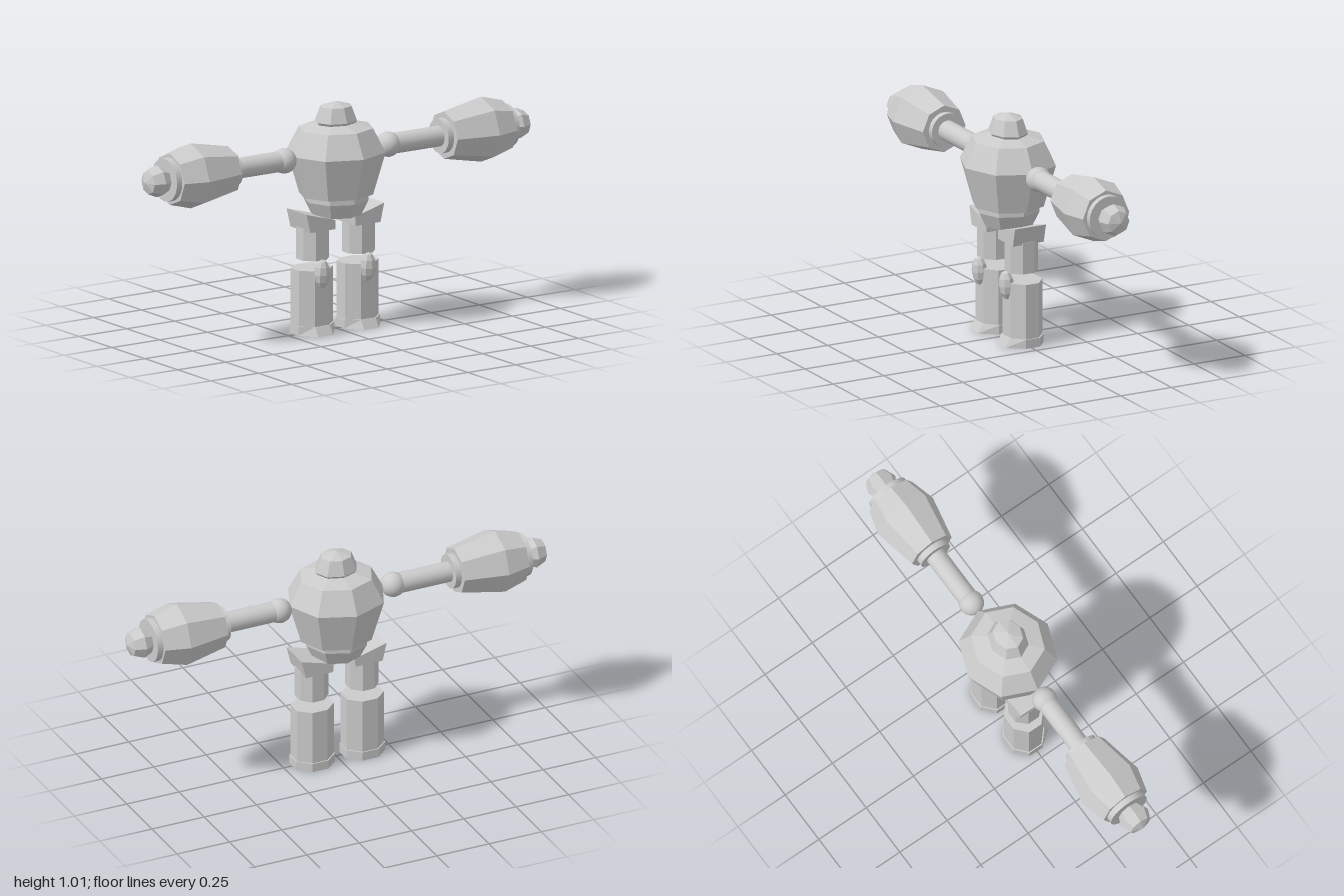
import * as THREE from 'three';

const flat = new THREE.MeshStandardMaterial({ color: 0xcccccc, flatShading: true });
const smooth = new THREE.MeshStandardMaterial({ color: 0xcccccc });

function add(parent, name, geometry, material = flat) {
  const mesh = new THREE.Mesh(geometry, material);
  mesh.name = name;
  parent.add(mesh);
  return mesh;
}

// Eight-sided solid from [radius, height] pairs, bottom to top
const facet = (profile) =>
  new THREE.LatheGeometry(profile.map(([r, y]) => new THREE.Vector2(r, y)), 8);

// Eight-sided column with flat faces towards the axes
function column(hx, hz, y0, y1) {
  const r = 1 / Math.cos(Math.PI / 8);
  const g = new THREE.CylinderGeometry(r, r, y1 - y0, 8);
  g.rotateY(Math.PI / 8);
  g.scale(hx, 1, hz);
  g.translate(0, (y0 + y1) / 2, 0);
  return g;
}

// Arm is built along +y, then laid out sideways
function makeArm(name) {
  const arm = new THREE.Group();
  arm.name = name;
  const rod = (part, r, a, b) =>
    add(arm, part, new THREE.CylinderGeometry(r, r, b - a, 24).translate(0, (a + b) / 2, 0), smooth);

  add(arm, 'shoulderBall', new THREE.SphereGeometry(0.055, 24, 16).translate(0, 0.272, 0), smooth);
  rod('upperArm', 0.045, 0.27, 0.56);
  rod('elbowCuff', 0.076, 0.537, 0.575);
  add(arm, 'forearm', facet([[0, 0.565], [0.105, 0.565], [0.144, 0.76], [0.114, 0.87], [0, 0.87]]));
  rod('wristCuff', 0.095, 0.85, 0.897);
  add(arm, 'hand', facet([[0, 0.87], [0.05, 0.89], [0.071, 0.937], [0.052, 0.983], [0, 1]]));
  return arm;
}

function makeLeg(side) {
  const leg = new THREE.Group();
  leg.name = side > 0 ? 'leftLeg' : 'rightLeg';
  leg.position.x = side * 0.12 - 0.003;

  // Hip block with a sloping top, higher on the outside
  const s = new THREE.Shape();
  s.moveTo(-0.067 * side, 0.46);
  s.lineTo(0.063 * side, 0.46);
  s.lineTo(0.083 * side, 0.543);
  s.lineTo(-0.069 * side, 0.5);
  s.closePath();
  const hip = new THREE.ExtrudeGeometry(s, { depth: 0.152, bevelEnabled: false });
  add(leg, 'hipBlock', hip.translate(0, 0, -0.076));

  add(leg, 'thigh', column(0.067, 0.068, 0.328, 0.47));
  add(leg, 'shin', column(0.088, 0.078, 0.03, 0.286)).position.z = -0.006;

  // Foot flares forward at the toe
  const foot = column(0.093, 0.083, 0, 0.04);
  const p = foot.attributes.position;
  for (let i = 0; i < p.count; i++) {
    if (p.getY(i) < 0.01 && p.getZ(i) > 0.05) p.setZ(i, p.getZ(i) + 0.023);
  }
  add(leg, 'foot', foot).position.z = -0.006;

  // Knee pad
  const knee = new THREE.SphereGeometry(1, 8, 6);
  knee.scale(0.038, 0.066, 0.034);
  knee.rotateX(0.08);
  add(leg, 'kneePad', knee).position.set(0, 0.27, 0.072);
  return leg;
}

export function createModel() {
  const model = new THREE.Group();
  model.name = 'robot';

  // Body
  const torso = add(model, 'torso', facet([
    [0, 0.59], [0.157, 0.597], [0.21, 0.785], [0.157, 0.89], [0, 0.93],
  ]));
  torso.scale.x = 1.06;
  add(model, 'pelvis', facet([[0, 0.507], [0.11, 0.507], [0.142, 0.572], [0.142, 0.6], [0, 0.6]]));
  const head = add(model, 'head', facet([
    [0, 0.89], [0.065, 0.892], [0.084, 0.92], [0.062, 0.985], [0, 1.006],
  ]));
  head.scale.x = 1.17;

  // Limbs
  for (const side of [1, -1]) {
    const arm = makeArm(side > 0 ? 'leftArm' : 'rightArm');
    arm.rotation.z = -side * Math.PI / 2;
    arm.position.y = 0.777;
    model.add(arm, makeLeg(side));
  }
  return model;
}
